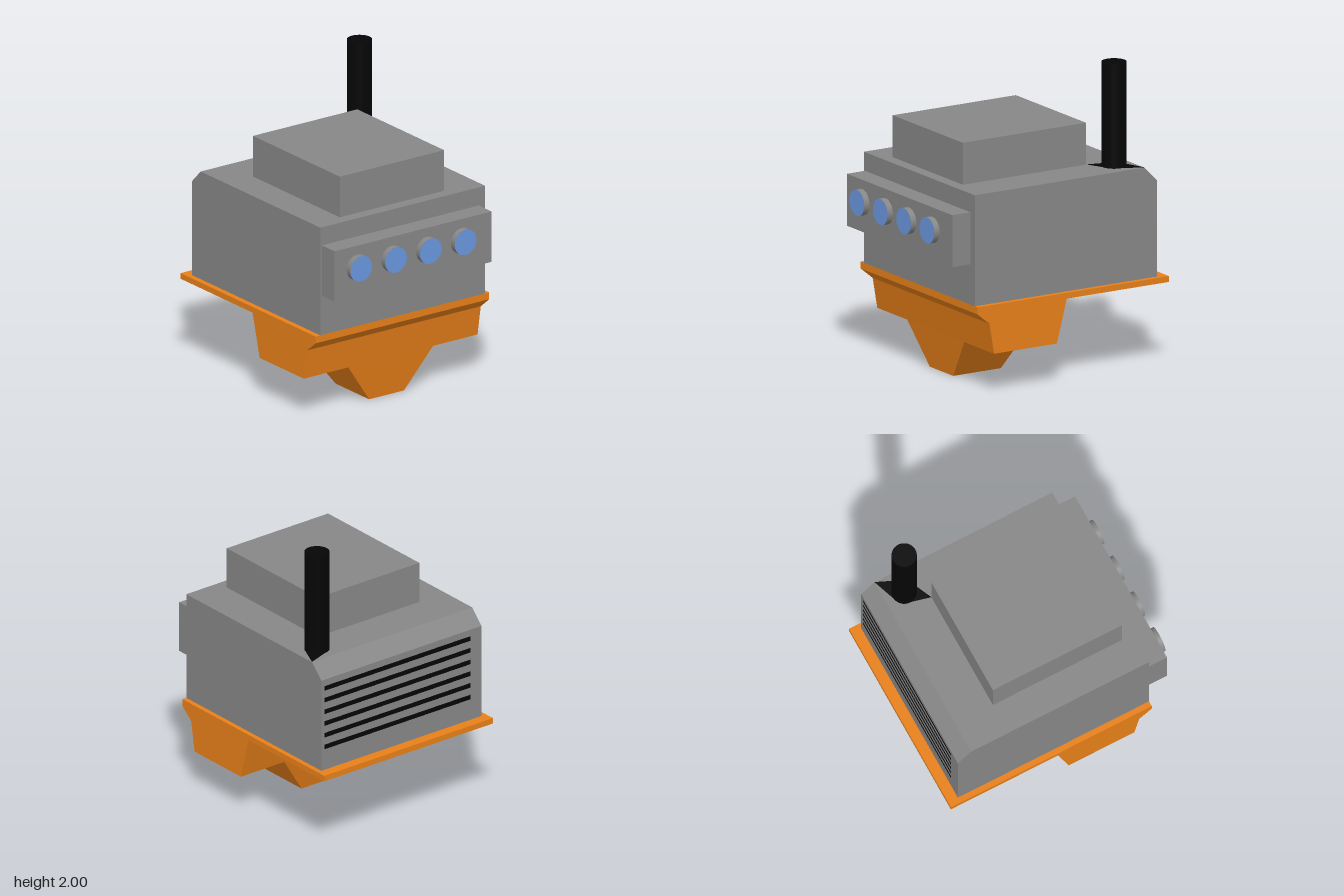
import * as THREE from 'three';

const mat = (color) => new THREE.MeshStandardMaterial({ color, flatShading: true });
const grey = mat(0x878787);
const orange = mat(0xe88019);
const blue = mat(0x6a98e0);
const black = new THREE.MeshStandardMaterial({ color: 0x050505 });
const smoothGrey = new THREE.MeshStandardMaterial({ color: 0x878787 });

function add(parent, name, geometry, material) {
  const mesh = new THREE.Mesh(geometry, material);
  mesh.name = name;
  parent.add(mesh);
}

// Box given by its minimum and maximum corners
function boxBetween([x0, y0, z0], [x1, y1, z1]) {
  return new THREE.BoxGeometry(x1 - x0, y1 - y0, z1 - z0)
    .translate((x0 + x1) / 2, (y0 + y1) / 2, (z0 + z1) / 2);
}

const outline = (points) => new THREE.Shape(points.map(([x, y]) => new THREE.Vector2(x, y)));

// Side profile in x/y, extruded from z0 to z1
function slab(points, z0, z1) {
  return new THREE.ExtrudeGeometry(outline(points), { depth: z1 - z0, bevelEnabled: false })
    .translate(0, 0, z0);
}

export function createModel() {
  const model = new THREE.Group();
  model.name = 'engine';

  // Oil pan: wide flange with a deep sump under one end
  add(model, 'oilPan', slab([
    [-0.81, 0.592], [-0.81, 0.554], [-0.04, 0.554], [0.035, 0.271],
    [0.507, 0.271], [0.542, 0.472], [0.632, 0.546], [0.632, 0.592],
  ], -0.682, 0.682), orange);

  // Sump foot: a box tapered towards its underside
  const foot = boxBetween([0, 0, -1], [1, 0.271, 1]);
  const pos = foot.attributes.position;
  for (let i = 0; i < pos.count; i++) {
    const low = pos.getY(i) < 0.1;
    const [x0, x1, z] = low ? [0.105, 0.463, 0.137] : [0.035, 0.507, 0.333];
    pos.setX(i, pos.getX(i) > 0.5 ? x1 : x0);
    pos.setZ(i, Math.sign(pos.getZ(i)) * z);
  }
  foot.computeVertexNormals();
  add(model, 'sumpFoot', foot, orange);

  // Main block with one chamfered top edge
  add(model, 'block', slab([
    [-0.74, 0.592], [0.632, 0.592], [0.632, 1.318], [-0.645, 1.318], [-0.74, 1.223],
  ], -0.65, 0.645), grey);

  add(model, 'topCover', boxBetween([-0.375, 1.318, -0.387], [0.552, 1.592, 0.433]), grey);
  add(model, 'sidePanel', boxBetween([0.632, 0.856, -0.6], [0.768, 1.196, 0.632]), grey);

  // Row of four round ports with coloured faces
  for (let i = 0; i < 4; i++) {
    const port = new THREE.Group();
    port.name = 'port' + (i + 1);
    port.position.set(0.768, 1.051, 0.453 - i * 0.273);
    add(port, 'portRim',
      new THREE.CylinderGeometry(0.085, 0.085, 0.04, 32).rotateZ(-Math.PI / 2).translate(0.02, 0, 0), smoothGrey);
    add(port, 'portFace',
      new THREE.CircleGeometry(0.085, 32).rotateY(Math.PI / 2).translate(0.0412, 0, 0), blue);
    model.add(port);
  }

  // Dark louvre slots, flush with the end face
  for (let i = 0; i < 6; i++) {
    add(model, 'louvre' + (i + 1),
      new THREE.PlaneGeometry(1.18, 0.032).rotateY(-Math.PI / 2).translate(-0.741, 0.752 + i * 0.082, -0.035), black);
  }

  // Exhaust pipe and the flat pointed plate it stands on
  add(model, 'exhaustPipe',
    new THREE.CylinderGeometry(0.08, 0.08, 0.682, 32).translate(-0.51, 1.659, -0.503), black);
  const plate = outline([
    [-0.645, 0.65], [-0.585, 0.48], [-0.57, 0.455], [-0.545, 0.433], [-0.375, 0.39],
    [-0.438, 0.53], [-0.45, 0.557], [-0.475, 0.575],
  ]);
  add(model, 'exhaustPlate',
    new THREE.ShapeGeometry(plate).rotateX(-Math.PI / 2).translate(0, 1.32, 0), black);

  return model;
}
